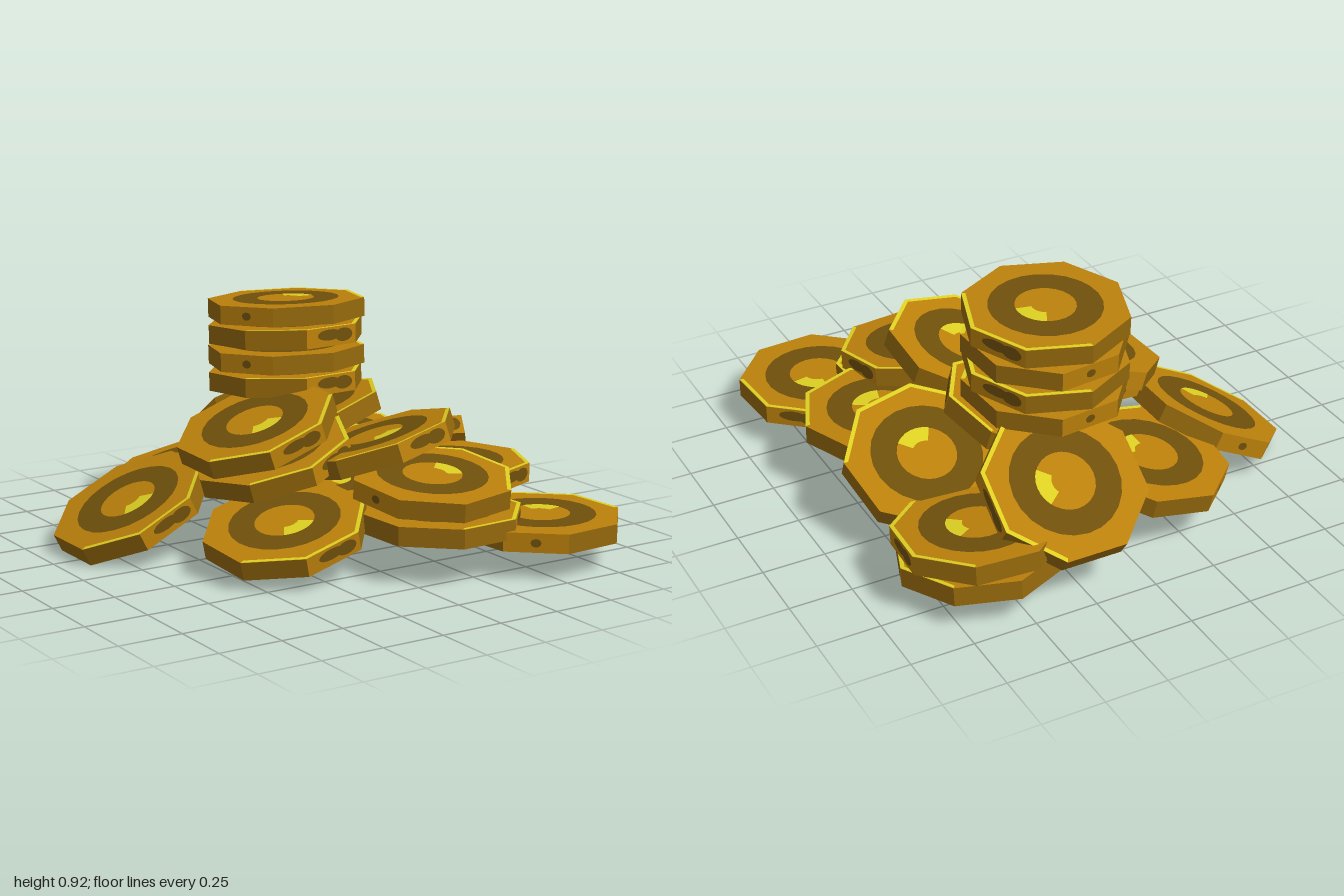
import * as THREE from 'three';

const R = 0.32, T = 0.075, D = Math.PI / 180;
const APOTHEM = R * Math.cos(22.5 * D);

function paint(name, color) {
  const m = new THREE.MeshStandardMaterial({ color });
  m.name = name;
  return m;
}
const gold = paint('gold', 0xbb800b);
const sideGold = paint('wornGold', 0x94680c);
const bronze = paint('darkBronze', 0x6f500b);
const yellow = paint('brightYellow', 0xdccf22);

function mesh(name, geometry, material) {
  const m = new THREE.Mesh(geometry, material);
  m.name = name;
  return m;
}

// Octagonal slab with crisp facets; one facet faces +x
const body = new THREE.CylinderGeometry(R, R, T, 8).rotateY(22.5 * D).toNonIndexed();
body.computeVertexNormals();
// Facets facing +x and -x are gold like the faces, the rest are worn
body.clearGroups();
[[0, 6, 1], [6, 6, 0], [12, 18, 1], [30, 6, 0], [36, 12, 1], [48, 48, 0]]
  .forEach(([start, count, material]) => body.addGroup(start, count, material));

// Flat arc lying on a coin face, centred on +x
const arc = (r0, r1, segments, length, lift) =>
  new THREE.RingGeometry(r0, r1, segments, 1, -length * D / 2, length * D)
    .rotateX(-Math.PI / 2).translate(0, T / 2 + lift, 0);
const ring = arc(0.115, 0.215, 24, 360, 0.002);
const glint = arc(0.055, 0.116, 6, 76, 0.003);
const rim = arc(R - 0.017, R, 3, 135, 0.0015);

// Rounded stain plate on a side facet
function spot(x, y, rx, ry) {
  const shape = new THREE.Shape();
  shape.absellipse(x, y, rx, ry, 0, Math.PI * 2);
  return new THREE.ShapeGeometry(shape, 8).translate(0, 0, APOTHEM + 0.002);
}
const spots = [
  [spot(-0.01, 0.008, 0.06, 0.022), 90],
  [spot(0.06, 0.003, 0.045, 0.027), 90],
  [spot(0, 0, 0.02, 0.016), -90],
];

// Coin at x, y, z; slopeX and slopeZ are rise per unit, turn is the heading of the glint
function coin(name, [x, y, z, slopeX, slopeZ, turn]) {
  const g = new THREE.Group();
  g.name = name;
  g.add(mesh('coinBody', body, [gold, sideGold]));
  for (const flip of [0, Math.PI]) {
    const face = new THREE.Group();
    face.name = flip ? 'coinUnderside' : 'coinTop';
    face.rotation.x = flip;
    face.add(mesh('faceRing', ring, bronze), mesh('faceGlint', glint, yellow));
    if (!flip) face.add(mesh('rimGlint', rim, yellow));
    g.add(face);
  }
  for (const [geometry, angle] of spots) {
    const s = mesh('sideStain', geometry, bronze);
    s.rotation.y = angle * D;
    g.add(s);
  }
  const normal = new THREE.Vector3(-slopeX, 1, -slopeZ).normalize();
  g.quaternion.setFromUnitVectors(new THREE.Vector3(0, 1, 0), normal);
  g.rotateY(-turn * D);
  g.position.set(x, y, z);
  return g;
}

export function createModel() {
  const model = new THREE.Group();
  model.name = 'coinPile';

  // Neat stack on top, alternately turned
  [0.867, 0.775, 0.675, 0.582].forEach((y, i) =>
    model.add(coin('stackCoin', [0.13, y, -0.377, 0, 0.05, i % 2 ? 84.5 : -26.5])));

  // Loose heap below
  const heap = [
    [-0.64, 0.165, -0.28, 0.51, 0, 90],       // far right, leaning
    [-0.215, 0.22, -0.555, 0.18, 0.12, 47],   // back right
    [0.25, 0.36, -0.735, 0, 0.7, 0],          // steep back
    [0.56, 0.12, -0.66, 0, -0.09, 20],        // back left, lower
    [0.565, 0.215, -0.665, 0, -0.1, 5],       // back left, upper
    [0.56, 0.275, -0.225, -0.05, 0.48, 80],   // left, leaning
    [0.56, 0.255, 0.17, 0, 0, 68],            // left, flat
    [0.61, 0.143, 0.69, 0, 0, -49],           // front left, flat
    [0.24, 0.185, 0.55, 0, 0, 42],            // front, lower
    [0.245, 0.305, 0.485, 0.02, -0.13, -10],  // front, upper
    [0.1, 0.185, -0.06, 0, 0, 45],            // buried in the centre
    [0.17, 0.415, 0.225, 0.24, 0.2, 85],      // middle
    [0.18, 0.435, -0.30, 0.25, 0.13, 30],     // beneath the stack
    [-0.2, 0.465, -0.06, 0.36, -0.04, 90],    // right middle, upper
    [-0.18, 0.37, 0.02, 0.3, -0.03, 70],      // right middle, lower
    [-0.295, 0.16, 0.3, 0.26, -0.13, 86],     // front right
  ];
  heap.forEach((c) => model.add(coin('heapCoin', c)));
  return model;
}
